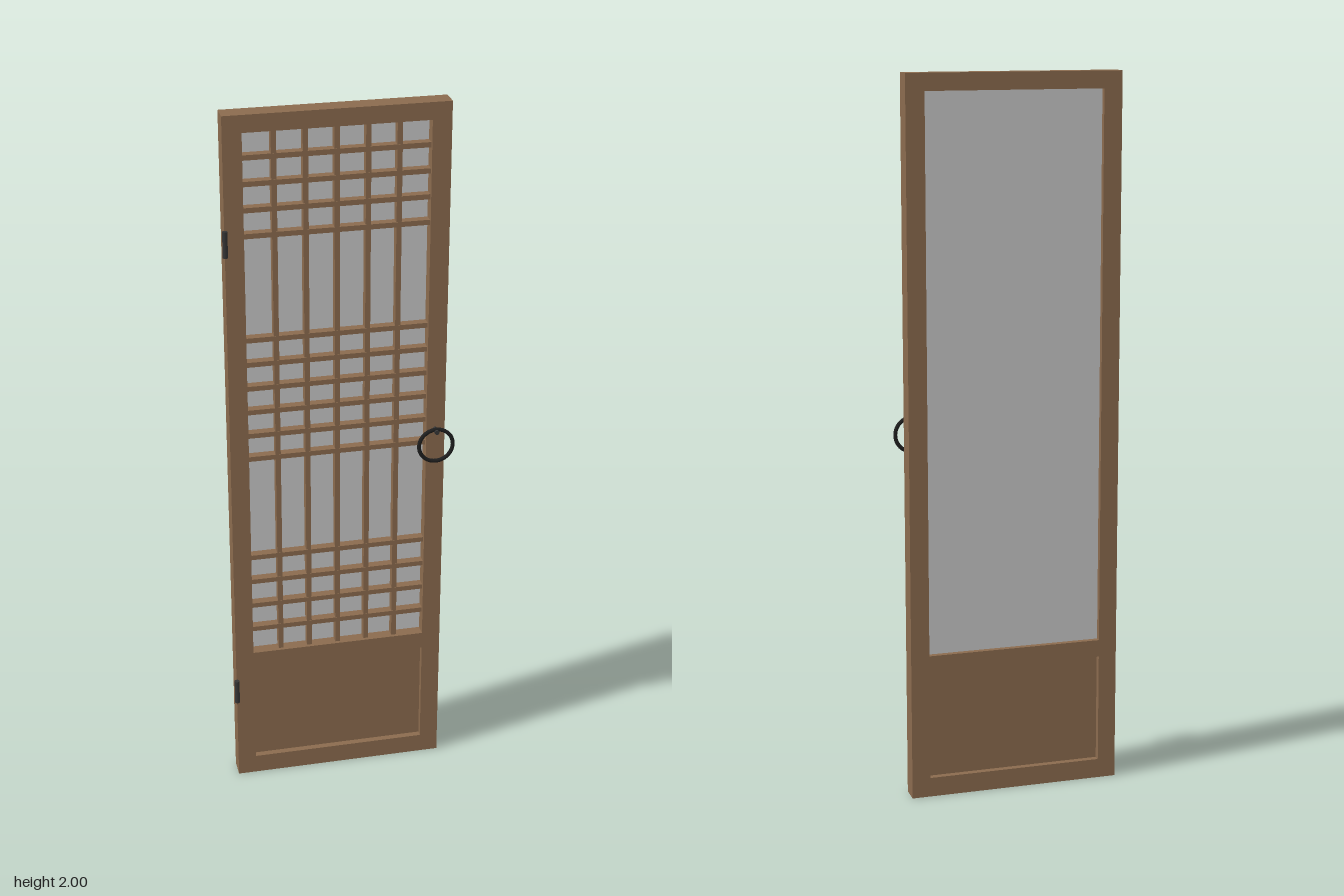
import * as THREE from 'three';

export function createModel() {
  const door = new THREE.Group();
  door.name = 'latticeDoor';

  const material = (name, color) => {
    const m = new THREE.MeshStandardMaterial({ color });
    m.name = name;
    return m;
  };
  const wood = material('brown wood', 0x8b6b4e);
  const paper = material('pale paper', 0xc8c8c8);
  const iron = material('dark iron', 0x363636);
  const blackIron = material('black iron', 0x1e1e1e);

  const add = (name, geometry, mat, x, y, z) => {
    const mesh = new THREE.Mesh(geometry, mat);
    mesh.name = name;
    mesh.position.set(x, y, z);
    door.add(mesh);
    return mesh;
  };
  const box = (name, mat, x0, x1, y0, y1, z0, z1) =>
    add(name, new THREE.BoxGeometry(x1 - x0, y1 - y0, z1 - z0), mat,
      (x0 + x1) / 2, (y0 + y1) / 2, (z0 + z1) / 2);

  // Door outline and openings
  const left = -0.309, right = 0.29, back = -0.043, front = 0.012;
  const inL = -0.258, inR = 0.238;
  const panelY = [0.055, 0.363], latticeY = [0.412, 1.953];

  // One-piece frame with two rectangular openings
  const rectangle = (target, x0, x1, y0, y1) => target
    .moveTo(x0, y0).lineTo(x1, y0).lineTo(x1, y1).lineTo(x0, y1).closePath();
  const outline = rectangle(new THREE.Shape(), left, right, 0, 2);
  for (const [y0, y1] of [panelY, latticeY])
    outline.holes.push(rectangle(new THREE.Path(), inL, inR, y0, y1));
  add('frame', new THREE.ExtrudeGeometry(outline, { depth: front - back, bevelEnabled: false }),
    wood, 0, 0, back);

  // Recessed infills
  box('lowerPanel', wood, inL, inR, ...panelY, -0.025, -0.006);
  box('paperScreen', paper, inL, inR, ...latticeY, -0.027, -0.022);

  // Upright lattice bars
  const half = 0.007;
  for (let i = 1; i < 6; i++) {
    const x = inL + (inR - inL) * i / 6;
    box('latticeUpright', wood, x - half, x + half, ...latticeY, -0.022, 0.002);
  }

  // Cross bars in three bands: first height, spacing, count
  for (const [start, step, count] of [[0.486, 0.0775, 4], [1.027, 0.0703, 6], [1.672, 0.0707, 4]])
    for (let i = 0; i < count; i++) {
      const y = start + step * i;
      box('latticeCrossBar', wood, inL, inR, y - half, y + half, -0.022, 0.003);
    }

  // Hinge barrels
  for (const y of [0.293, 1.661])
    add('hinge', new THREE.CylinderGeometry(0.007, 0.007, 0.072, 16), iron, -0.309, y, 0.02);

  // Pull ring hanging on a short post
  add('ringPost', new THREE.CylinderGeometry(0.0065, 0.0065, 0.028, 16), iron, 0.262, 1.07, 0.025)
    .rotation.x = Math.PI / 2;
  add('pullRing', new THREE.TorusGeometry(0.048, 0.0055, 12, 48), blackIron, 0.262, 1.027, 0.028);

  return door;
}
